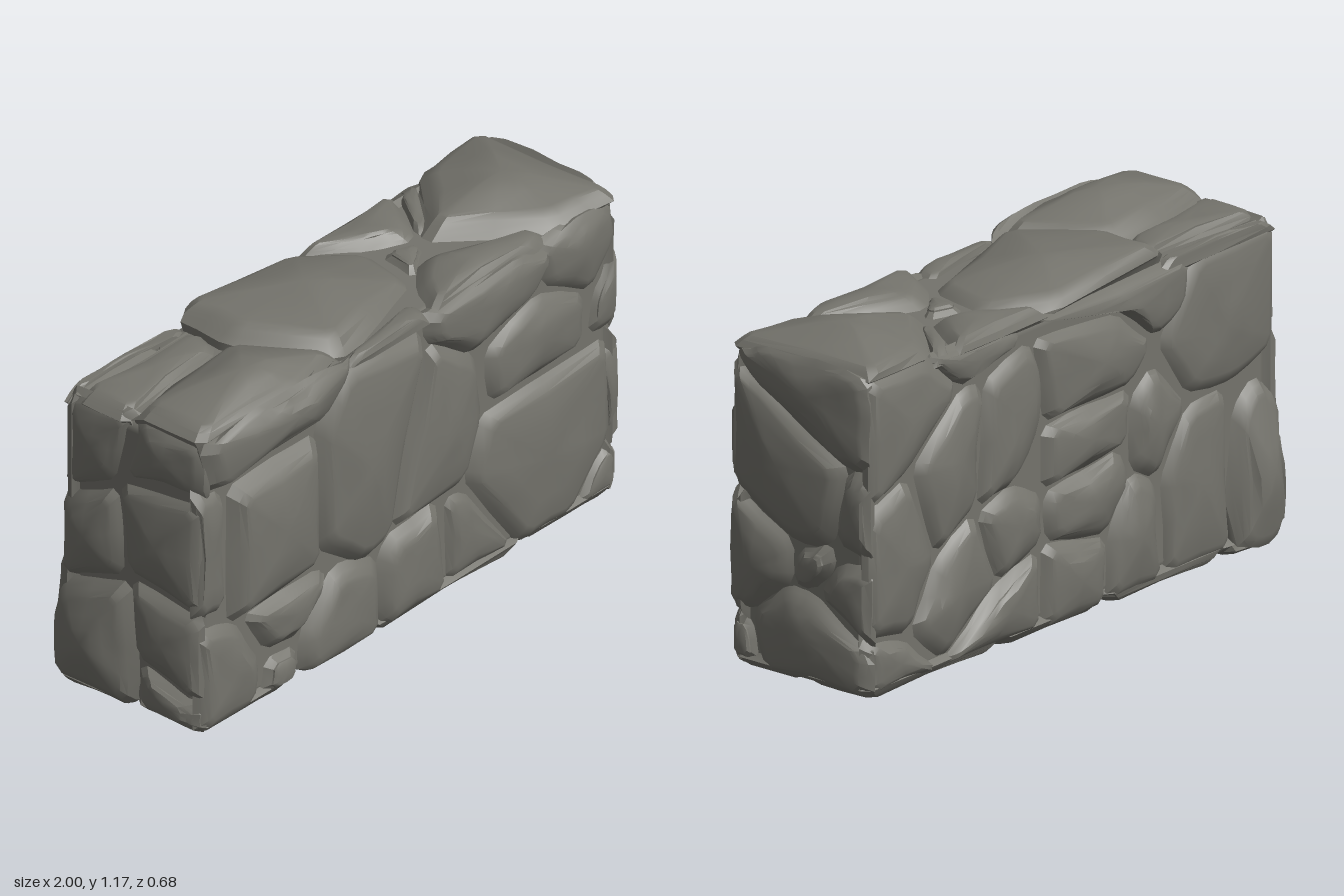
import * as THREE from 'three';
import { RoundedBoxGeometry } from 'three/addons/geometries/RoundedBoxGeometry.js';
import { toCreasedNormals } from 'three/addons/utils/BufferGeometryUtils.js';

const material = new THREE.MeshStandardMaterial({ color: 0x74736c });

// Small seeded noise
let seed = 7;
const rand = () => {
  seed = (seed * 16807) % 2147483647;
  return seed / 2147483647 - 0.5;
};

// Each side of the wall: in-plane axes u and v, outward axis n and its sign
const SIDES = {
  front: { u: 'x', v: 'y', n: 'z', sign: 1 },
  back: { u: 'x', v: 'y', n: 'z', sign: -1 },
  right: { u: 'z', v: 'y', n: 'x', sign: 1 },
  left: { u: 'z', v: 'y', n: 'x', sign: -1 },
  top: { u: 'x', v: 'z', n: 'y', sign: 1 },
  bottom: { u: 'x', v: 'z', n: 'y', sign: -1 },
};

// Stones spread into the joints but not past these edges of the wall; deep rings stay further in
const LIMITS = { x: [-0.95, 0.965], y: [0.08, 1.1], z: [-0.28, 0.27] };
function limit(axis, value, start, margin) {
  const [lo, hi] = LIMITS[axis];
  if (margin > 0) return THREE.MathUtils.clamp(value, lo + margin, hi - margin);
  return THREE.MathUtils.clamp(value, Math.min(start, lo), Math.max(start, hi));
}

// Cut every corner, keeping the middle of each edge
function softenCorners(points) {
  const out = [];
  points.forEach((p, i) => {
    const prev = points[(i + points.length - 1) % points.length];
    const next = points[(i + 1) % points.length];
    out.push(p.clone().lerp(prev, Math.min(0.25, 0.025 / p.distanceTo(prev))));
    out.push(p.clone().lerp(next, Math.min(0.25, 0.025 / p.distanceTo(next))));
    out.push(p.clone().lerp(next, 0.5).add(new THREE.Vector2(rand(), rand()).multiplyScalar(0.012)));
  });
  return out;
}

// One chiselled stone: outline rings that narrow toward a slightly domed, uneven face
function stoneGeometry(side, level, flat, dome, tiltU, tiltV) {
  let outline = [];
  for (let i = 0; i < flat.length; i += 2) outline.push(new THREE.Vector2(flat[i], flat[i + 1]));
  const axis = (k) => new THREE.Vector3(+(k === 'x'), +(k === 'y'), +(k === 'z'));
  const hand = axis(side.u).cross(axis(side.v)).dot(axis(side.n)) * side.sign;
  if (THREE.ShapeUtils.area(outline) * hand < 0) outline.reverse();
  outline = softenCorners(outline);

  const centre = outline.reduce((s, p) => s.add(p), new THREE.Vector2()).divideScalar(outline.length);
  const count = outline.length;
  const positions = [], index = [];
  const put = (p, h) => {
    const o = new THREE.Vector3();
    o[side.u] = p.x;
    o[side.v] = p.y;
    o[side.n] = level + side.sign * (h + (p.x - centre.x) * tiltU + (p.y - centre.y) * tiltV);
    positions.push(o.x, o.y, o.z);
  };
  // Joint and bevel rings: inset from the outline, depth, margin to the wall's edges
  const bevel = [
    [-0.045, -0.15, 0.07], [-0.042, -0.06, 0.03], [-0.018, -0.04, 0.008],
    [0.006, -0.02, 0], [0.028, -0.005, 0], [0.044, 0, 0],
  ];
  for (const [inset, h, margin] of bevel) {
    for (const p of outline) {
      const d = centre.clone().sub(p);
      const q = p.clone().addScaledVector(d, Math.min(inset / d.length(), 0.35));
      put(new THREE.Vector2(limit(side.u, q.x, p.x, margin), limit(side.v, q.y, p.y, margin)), h);
    }
  }
  // Face rings: share of the way to the centre, share of the dome
  const lump = (p) => 0.005 * Math.sin(p.x * 21 + level * 50) * Math.sin(p.y * 17);
  for (const [share, rise] of [[0.48, 0.55], [0.72, 0.92]]) {
    for (const p of outline) {
      const q = p.clone().lerp(centre, share);
      put(q, dome * rise + lump(q));
    }
  }
  put(centre, dome + lump(centre));
  const ringCount = bevel.length + 2;
  for (let r = 0; r < ringCount - 1; r++) {
    for (let i = 0; i < count; i++) {
      const a = r * count + i, b = r * count + (i + 1) % count;
      index.push(a, b, b + count, a, b + count, a + count);
    }
  }
  const last = (ringCount - 1) * count;
  for (let i = 0; i < count; i++) index.push(last + i, last + (i + 1) % count, last + count);

  const geometry = new THREE.BufferGeometry();
  geometry.setAttribute('position', new THREE.Float32BufferAttribute(positions, 3));
  geometry.setIndex(index);
  return toCreasedNormals(geometry, 0.45);
}

export function createModel() {
  const wall = new THREE.Group();
  wall.name = 'stoneWall';

  // Mortar core seen at the bottom of the joints
  const core = new THREE.Mesh(new RoundedBoxGeometry(1.86, 0.98, 0.5, 2, 0.04), material);
  core.name = 'core';
  core.position.set(0.005, 0.58, -0.005);
  wall.add(core);

  // Each stone: level of its face, outline as u, v pairs, then dome height and slopes along u and v
  const course = (name, side, stones) => {
    const group = new THREE.Group();
    group.name = name;
    stones.forEach(([level, flat, dome = 0.008, tiltU = 0, tiltV = 0], i) => {
      const mesh = new THREE.Mesh(stoneGeometry(SIDES[side], level, flat, dome, tiltU, tiltV), material);
      mesh.name = `${name}Stone${i + 1}`;
      group.add(mesh);
    });
    wall.add(group);
  };

  course('frontUpper', 'front', [
    [0.295, [-0.92, 1.08, -0.72, 1.13, -0.45, 1.13, -0.28, 1.1, -0.27, 1.06, -0.38, 0.95, -0.88, 0.92], 0.035],
    [0.265, [-0.94, 0.91, -0.83, 0.9, -0.82, 0.47, -0.94, 0.48]],
    [0.295, [-0.78, 0.86, -0.42, 0.87, -0.41, 0.46, -0.78, 0.43], 0.02],
    [0.288, [-0.28, 1.06, 0.07, 1.01, -0.09, 0.4, -0.2, 0.37, -0.38, 0.5, -0.39, 0.9], 0.02],
    [0.28, [0.11, 0.96, 0.31, 0.83, 0.34, 0.61, 0.26, 0.43, -0.05, 0.41], 0.012],
    [0.285, [0.1, 1.07, 0.5, 1.1, 0.66, 1.04, 0.58, 0.94, 0.3, 0.86, 0.11, 0.98]],
    [0.27, [0.6, 1.07, 0.8, 1.11, 0.93, 1.08, 0.96, 0.96, 0.84, 0.82, 0.63, 0.93], 0.012],
    [0.275, [0.37, 0.82, 0.6, 0.91, 0.81, 0.82, 0.8, 0.66, 0.39, 0.64], 0.012],
    [0.265, [0.85, 0.8, 0.96, 0.93, 0.96, 0.66, 0.83, 0.66]],
  ]);
  course('frontLower', 'front', [
    [0.28, [0.35, 0.6, 0.9, 0.62, 0.92, 0.3, 0.74, 0.1, 0.52, 0.1, 0.28, 0.42], 0.012],
    [0.26, [0.87, 0.58, 0.96, 0.63, 0.96, 0.27, 0.92, 0.27]],
    [0.265, [0.95, 0.25, 0.95, 0.09, 0.77, 0.09, 0.88, 0.24]],
    [0.265, [0.18, 0.4, 0.27, 0.39, 0.49, 0.1, 0.19, 0.1]],
    [0.285, [-0.08, 0.37, 0.13, 0.4, 0.17, 0.1, -0.1, 0.09, -0.12, 0.25]],
    [0.285, [-0.32, 0.38, -0.14, 0.33, -0.13, 0.09, -0.46, 0.09, -0.46, 0.22]],
    [0.28, [-0.72, 0.4, -0.4, 0.41, -0.36, 0.37, -0.48, 0.24, -0.62, 0.25]],
    [0.275, [-0.94, 0.44, -0.77, 0.4, -0.66, 0.22, -0.68, 0.09, -0.93, 0.09]],
    [0.27, [-0.63, 0.21, -0.49, 0.2, -0.49, 0.09, -0.65, 0.09]],
  ]);
  course('backUpper', 'back', [
    [-0.29, [0.96, 1.09, 0.69, 1.09, 0.54, 0.96, 0.77, 0.76, 0.96, 0.69], 0.012],
    [-0.275, [0.67, 1.08, 0.28, 1.07, 0.22, 1.02, 0.46, 0.95, 0.54, 0.96]],
    [-0.285, [0.73, 0.75, 0.51, 0.94, 0.42, 0.93, 0.45, 0.56, 0.63, 0.46], 0.014],
    [-0.285, [0.4, 0.93, 0.2, 1, 0.14, 0.88, 0.15, 0.72, 0.27, 0.58, 0.43, 0.55], 0.014],
    [-0.285, [0.17, 1, -0.21, 0.97, -0.37, 0.84, -0.28, 0.74, 0.12, 0.73], 0.014],
    [-0.285, [0.13, 0.71, -0.27, 0.72, -0.26, 0.56, 0.13, 0.52], 0.014],
    [-0.28, [0.18, 1.06, -0.55, 1.06, -0.54, 0.92, -0.4, 0.85, -0.21, 0.99]],
    [-0.28, [-0.57, 1.06, -0.94, 1.06, -0.94, 0.68, -0.75, 0.61, -0.54, 0.63, -0.41, 0.82], 0.012],
    [-0.285, [-0.28, 0.68, -0.38, 0.76, -0.53, 0.6, -0.39, 0.41, -0.28, 0.47], 0.014],
  ]);
  course('backLower', 'back', [
    [-0.285, [0.95, 0.66, 0.77, 0.73, 0.64, 0.45, 0.76, 0.25, 0.95, 0.28], 0.014],
    [-0.285, [0.63, 0.43, 0.46, 0.53, 0.35, 0.29, 0.6, 0.12, 0.74, 0.24], 0.016],
    [-0.285, [0.43, 0.52, 0.28, 0.57, 0.14, 0.5, 0.14, 0.36, 0.34, 0.29], 0.014],
    [-0.285, [0.12, 0.5, -0.22, 0.54, -0.27, 0.44, -0.16, 0.3, 0.11, 0.35], 0.014],
    [-0.275, [0.95, 0.26, 0.77, 0.23, 0.61, 0.09, 0.94, 0.09], 0.012],
    [-0.285, [0.6, 0.1, 0.36, 0.27, 0.16, 0.33, 0.15, 0.09], 0.014],
    [-0.285, [0.13, 0.34, -0.16, 0.28, -0.15, 0.08, 0.13, 0.08], 0.014],
    [-0.285, [-0.18, 0.29, -0.28, 0.45, -0.39, 0.39, -0.41, 0.08, -0.17, 0.08], 0.016],
    [-0.28, [-0.54, 0.59, -0.71, 0.6, -0.73, 0.08, -0.44, 0.08, -0.42, 0.39], 0.012],
    [-0.305, [-0.76, 0.5, -0.85, 0.59, -0.94, 0.52, -0.96, 0.14, -0.9, 0.06, -0.76, 0.08], 0.033, 0, -0.06],
  ]);
  course('rightEnd', 'right', [
    [0.98, [0.24, 1.08, 0.14, 1.12, -0.1, 1.13, -0.27, 1.1, -0.29, 1, -0.28, 0.81, -0.17, 0.81, 0.17, 1], 0.015],
    [0.975, [0.25, 1.04, 0.13, 0.98, -0.17, 0.78, -0.11, 0.55, 0.02, 0.53, 0.25, 0.67], 0.012],
    [0.97, [-0.18, 0.78, -0.28, 0.78, -0.28, 0.52, -0.14, 0.56]],
    [0.968, [0.26, 0.64, 0.04, 0.51, 0.04, 0.39, 0.19, 0.27, 0.27, 0.27], 0.01],
    [0.965, [0.01, 0.49, -0.11, 0.54, -0.13, 0.47, -0.04, 0.38, 0.03, 0.39]],
    [0.963, [-0.15, 0.49, -0.28, 0.49, -0.27, 0.25, -0.07, 0.37]],
    [0.967, [0.05, 0.37, -0.05, 0.36, -0.27, 0.22, -0.26, 0.09, 0.14, 0.09, 0.18, 0.26], 0.01],
    [0.958, [0.26, 0.25, 0.19, 0.24, 0.16, 0.09, 0.26, 0.09]],
  ]);
  course('leftEnd', 'left', [
    [-0.935, [0.26, 1.08, 0, 1.09, -0.05, 0.86, 0.26, 0.9], 0.012],
    [-0.94, [-0.02, 1.09, -0.27, 1.07, -0.28, 0.74, -0.07, 0.83], 0.012],
    [-0.95, [0.26, 0.88, -0.06, 0.84, -0.03, 0.55, 0.26, 0.5], 0.017],
    [-0.955, [-0.07, 0.81, -0.28, 0.72, -0.28, 0.44, -0.05, 0.53], 0.014],
    [-0.957, [0.26, 0.48, -0.01, 0.52, 0.01, 0.27, 0.26, 0.2], 0.015],
    [-0.97, [-0.03, 0.49, -0.28, 0.41, -0.31, 0.28, -0.3, 0.1, -0.01, 0.1, -0.01, 0.27], 0.03],
    [-0.95, [0.26, 0.18, 0.02, 0.25, 0.01, 0.1, 0.26, 0.09], 0.015],
  ]);
  course('topCap', 'top', [
    [1.13, [-0.91, 0.01, -0.45, -0.04, -0.29, 0.22, -0.5, 0.28, -0.91, 0.25], 0.042],
    [1.1, [-0.92, -0.22, -0.43, -0.19, -0.47, -0.08, -0.93, -0.03]],
    [1.08, [-0.92, -0.28, -0.42, -0.27, -0.43, -0.22, -0.92, -0.25]],
    [1.125, [-0.4, -0.27, 0.06, -0.26, 0.24, -0.1, 0.19, 0.1, -0.25, 0.2, -0.41, -0.06], 0.028, -0.09],
    [1.11, [0.2, 0.14, 0.32, 0.05, 0.67, 0.2, 0.6, 0.26, 0.13, 0.26], 0.012],
    [1.1, [0.11, -0.26, 0.54, -0.27, 0.4, -0.06, 0.27, -0.12]],
    [1.09, [0.65, -0.27, 0.56, -0.27, 0.42, -0.07, 0.46, -0.05]],
    [1.13, [0.45, -0.03, 0.67, -0.25, 0.94, -0.28, 0.95, 0.25, 0.72, 0.22], 0.042],
    [1.085, [-0.27, 0.24, 0.13, 0.17, 0.11, 0.26, -0.25, 0.27]],
    [1.09, [0.26, -0.08, 0.4, -0.03, 0.33, 0.03, 0.23, 0.09]],
  ]);
  course('underside', 'bottom', [
    [0.055, [-0.93, -0.3, -0.72, -0.28, -0.7, -0.06, -0.92, -0.02], 0.022],
    [0.065, [-0.92, 0.01, -0.68, -0.03, -0.52, 0.25, -0.92, 0.25]],
    [0.04, [-0.47, 0.18, -0.57, 0.02, -0.36, -0.14, -0.14, -0.02, -0.16, 0.19], 0.037],
    [0.06, [-0.69, -0.27, -0.18, -0.27, -0.15, -0.05, -0.36, -0.17, -0.64, 0], 0.015],
    [0.06, [-0.14, -0.26, 0.3, -0.26, 0.42, -0.03, 0.08, 0.04, -0.12, 0], 0.02],
    [0.062, [-0.12, 0.04, 0.08, 0.07, 0.42, 0, 0.51, 0.25, -0.13, 0.25], 0.018],
    [0.07, [0.33, -0.26, 0.94, -0.26, 0.94, -0.02, 0.45, -0.02]],
    [0.07, [0.46, 0.01, 0.94, 0.01, 0.94, 0.25, 0.54, 0.25]],
  ]);
  return wall;
}
